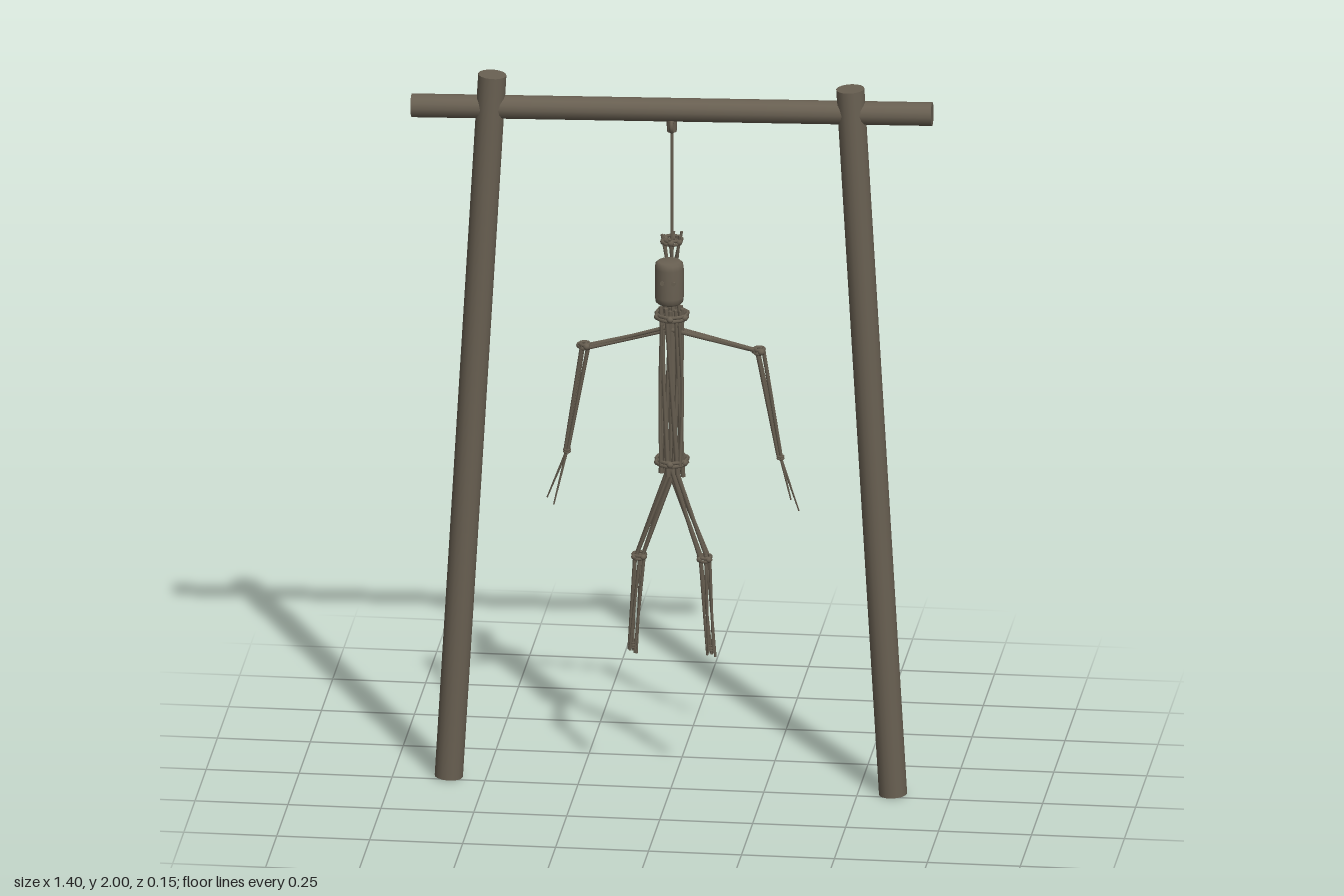
import * as THREE from 'three';

export function createModel() {
  const model = new THREE.Group();
  const wood = new THREE.MeshStandardMaterial({ color: 0x696052 });
  wood.name = 'weathered wood';
  const Z = -0.022; // depth of the frame and the figure's spine
  const V = (x, y, z = Z) => new THREE.Vector3(x, y, z);

  let seed = 7;
  const jitter = (s) => {
    seed = (seed * 16807) % 2147483647;
    return (seed / 2147483647 - 0.5) * 2 * s;
  };

  function part(name, parent = model) {
    const g = new THREE.Group();
    g.name = name;
    parent.add(g);
    return g;
  }
  function add(parent, name, geometry) {
    const m = new THREE.Mesh(geometry, wood);
    m.name = name;
    parent.add(m);
    return m;
  }
  // Straight tapered pole between two points
  function pole(parent, name, a, b, ra, rb = ra, sides = 6) {
    const d = b.clone().sub(a);
    const m = add(parent, name, new THREE.CylinderGeometry(rb, ra, d.length(), sides));
    m.position.copy(a).add(b).multiplyScalar(0.5);
    m.quaternion.setFromUnitVectors(new THREE.Vector3(0, 1, 0), d.normalize());
    return m;
  }
  // Crooked twig through a list of points
  function twig(parent, name, points, r) {
    return add(parent, name, new THREE.TubeGeometry(new THREE.CatmullRomCurve3(points), 8, r, 5));
  }
  // Several sticks side by side, spread in a ring at each end and twisted
  function bundle(parent, a, b, count, spreadA, spreadB, r, twist = 0.5) {
    for (let i = 0; i < count; i++) {
      const t = (i / count) * Math.PI * 2;
      const off = (p, s, w) => p.clone().add(V(Math.cos(t + w) * s, jitter(0.008), Math.sin(t + w) * s));
      pole(parent, 'stick', off(a, spreadA, 0), off(b, spreadB, twist), r, r * 0.8, 5);
    }
  }
  // Cord wound twice around a joint, finished with small knots
  function binding(parent, c, radius, r = 0.005, knots = 4) {
    for (const dy of [-r, r]) {
      const m = add(parent, 'cord loop', new THREE.TorusGeometry(radius, r, 5, 14));
      m.rotation.x = Math.PI / 2;
      m.position.copy(c);
      m.position.y += dy;
    }
    for (let i = 0; i < knots; i++) {
      const t = ((i + 0.5) / knots) * Math.PI * 2;
      const k = add(parent, 'knot', new THREE.IcosahedronGeometry(r * 1.9, 1));
      k.position.set(c.x + Math.cos(t) * radius, c.y, c.z + Math.sin(t) * radius);
    }
  }

  // Gallows frame: two leaning posts and a crossbeam
  const frame = part('frame');
  pole(frame, 'rightPost', V(-0.6, 0.003), V(-0.483, 1.998), 0.038, 0.038, 16);
  pole(frame, 'leftPost', V(0.595, 0.003), V(0.48, 1.998), 0.038, 0.038, 16);
  pole(frame, 'crossbeam', V(-0.7, 1.9, -0.025), V(0.7, 1.935, -0.025), 0.032, 0.032, 14);

  // Rope with its knot under the beam
  const rope = part('rope');
  pole(rope, 'ropeLine', V(0, 1.48), V(0, 1.9), 0.0045);
  const eye = add(rope, 'ropeRing', new THREE.TorusGeometry(0.018, 0.006, 6, 14));
  eye.rotation.y = Math.PI / 2;
  eye.position.copy(V(0, 1.875));
  pole(rope, 'ropeKnot', V(0, 1.857), V(0, 1.895), 0.013, 0.015, 8);

  // Head: rounded block hanging forward of the neck
  const head = part('head');
  const profile = [[0, 0], [0.03, 0], [0.037, 0.006], [0.039, 0.02], [0.039, 0.1], [0.037, 0.114], [0.03, 0.12], [0, 0.12]];
  const skull = add(head, 'skull', new THREE.LatheGeometry(profile.map(([x, y]) => new THREE.Vector2(x, y)), 16));
  skull.position.set(0, 1.39, 0.035);
  for (const s of [-1, 1]) {
    const e = add(head, 'eye', new THREE.CylinderGeometry(0.006, 0.006, 0.006, 8));
    e.rotation.x = Math.PI / 2;
    e.position.set(s * 0.015, 1.458, 0.072);
  }

  // Neck: sticks flaring into a crown
  const neck = part('neck');
  bundle(neck, V(0, 1.34), V(0, 1.47), 5, 0.022, 0.01, 0.005, 0.8);
  bundle(neck, V(0, 1.46), V(0, 1.565), 6, 0.01, 0.028, 0.005, 0.6);
  binding(neck, V(0, 1.548), 0.024, 0.005, 6);
  binding(neck, V(0, 1.4), 0.012, 0.004, 0);

  // Torso: long twisted bundle tied at shoulders and hips
  const torso = part('torso');
  bundle(torso, V(0, 0.885), V(0, 1.36), 7, 0.03, 0.03, 0.007, 1.1);
  bundle(torso, V(0, 0.9), V(0, 1.35), 5, 0.022, 0.026, 0.006, -0.9);
  pole(torso, 'spine', V(0, 0.88), V(0, 1.36), 0.01, 0.01, 7);
  binding(torso, V(0, 1.337), 0.042, 0.005, 6);
  binding(torso, V(0, 0.925), 0.042, 0.005, 6);
  for (const s of [-1, 1]) {
    twig(torso, 'rib', [V(s * 0.026, 0.92, 0.012), V(s * 0.03, 1.12, -0.005), V(s * 0.024, 1.32, 0.012)], 0.005);
  }

  // Arms: bent sticks ending in thin twig fingers
  const arms = [
    ['rightArm', V(-0.235, 1.24), V(-0.282, 0.94), [V(-0.337, 0.8), V(-0.316, 0.79)]],
    ['leftArm', V(0.235, 1.245), V(0.292, 0.945), [V(0.34, 0.79), V(0.322, 0.83)]],
  ];
  for (const [name, elbow, wrist, tips] of arms) {
    const arm = part(name);
    bundle(arm, V(0, 1.3), elbow, 3, 0.007, 0.011, 0.006, 0.7);
    bundle(arm, elbow, wrist, 3, 0.011, 0.006, 0.006, 0.9);
    binding(arm, elbow, 0.013, 0.005, 3);
    binding(arm, wrist, 0.008, 0.003, 0);
    tips.forEach((tip, i) => {
      const z = Z + (i ? 0.014 : -0.014);
      pole(arm, 'finger', wrist, V(tip.x, tip.y, z), 0.004, 0.002, 5);
    });
  }

  // Legs: thighs splayed from the hip, shins of loose sticks tied at the knee
  for (const s of [-1, 1]) {
    const leg = part(s < 0 ? 'rightLeg' : 'leftLeg');
    const knee = V(s * 0.088, 0.65);
    const foot = V(s * 0.106, 0.378);
    bundle(leg, V(0, 0.9), knee, 4, 0.008, 0.013, 0.0065, 0.7);
    bundle(leg, knee.clone().add(V(0, 0.006, 0)), foot, 5, 0.014, 0.011, 0.0045, 0.9);
    binding(leg, knee, 0.017, 0.0045, 4);
    binding(leg, V(s * 0.105, 0.395), 0.01, 0.003, 0);
  }

  return model;
}
